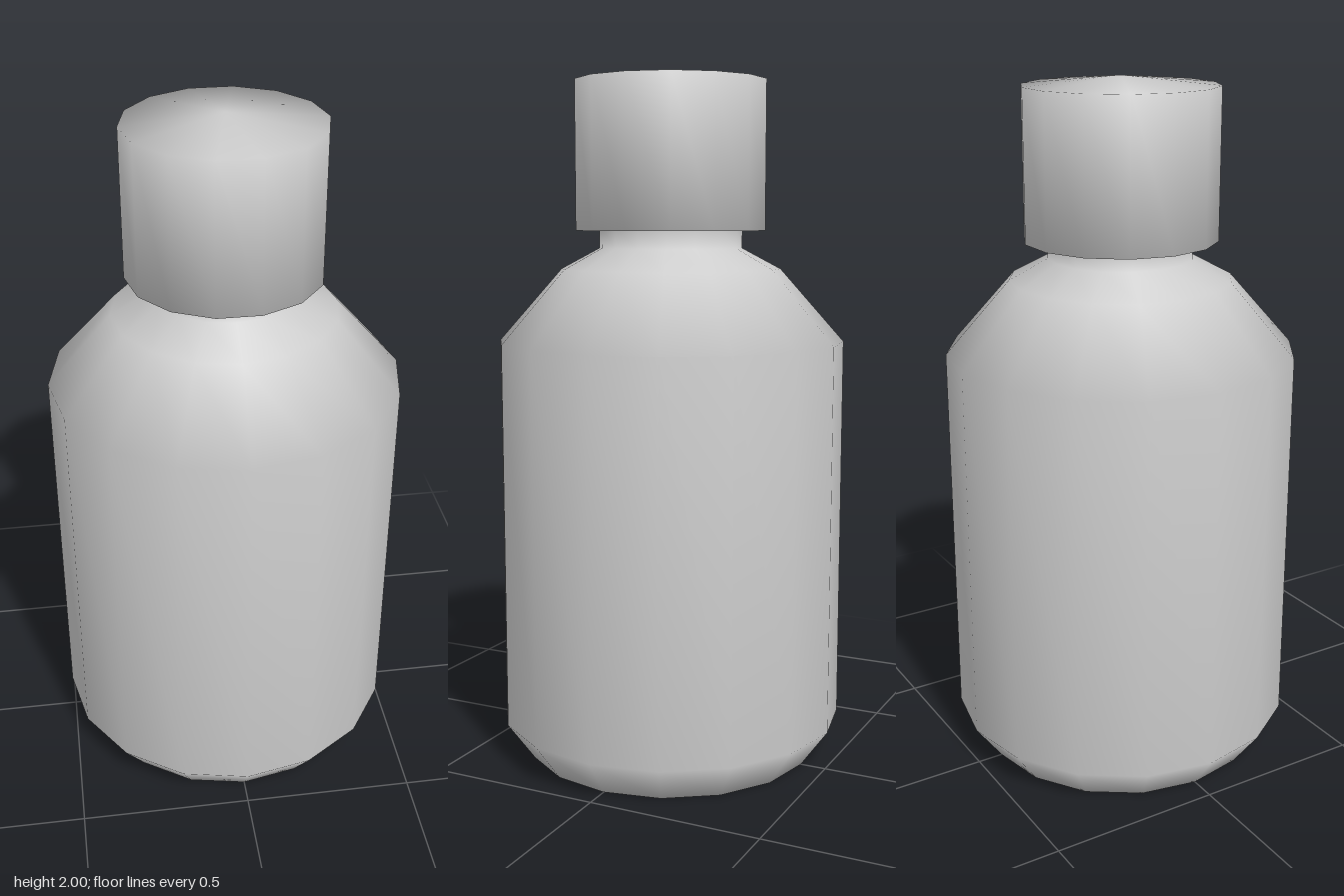
import * as THREE from 'three';
import { mergeVertices } from 'three/addons/utils/BufferGeometryUtils.js';

const material = new THREE.MeshStandardMaterial({ color: 0xcccccc });

// Revolves a bottom-to-top [radius, y] profile and welds it for fully smooth normals
function turned(name, profile, sides) {
  const points = profile.map(([r, y]) => new THREE.Vector2(r, y));
  const lathe = new THREE.LatheGeometry(points, sides, Math.PI / 2);
  lathe.deleteAttribute('uv');
  lathe.deleteAttribute('normal');
  const geometry = mergeVertices(lathe, 1e-4);
  geometry.computeVertexNormals();
  const mesh = new THREE.Mesh(geometry, material);
  mesh.name = name;
  return mesh;
}

export function createModel() {
  const group = new THREE.Group();
  group.name = 'bottle';

  // Body: chamfered base, straight wall, sloped shoulder and short neck
  group.add(turned('body', [
    [0, 0], [0.425, 0], [0.505, 0.11], [0.505, 1.23],
    [0.32, 1.44], [0.208, 1.5], [0.208, 1.56],
  ], 16));

  // Cap: straight-sided with a shallow cone on top
  group.add(turned('cap', [
    [0, 1.55], [0.278, 1.55], [0.278, 1.975], [0, 2],
  ], 14));

  return group;
}
